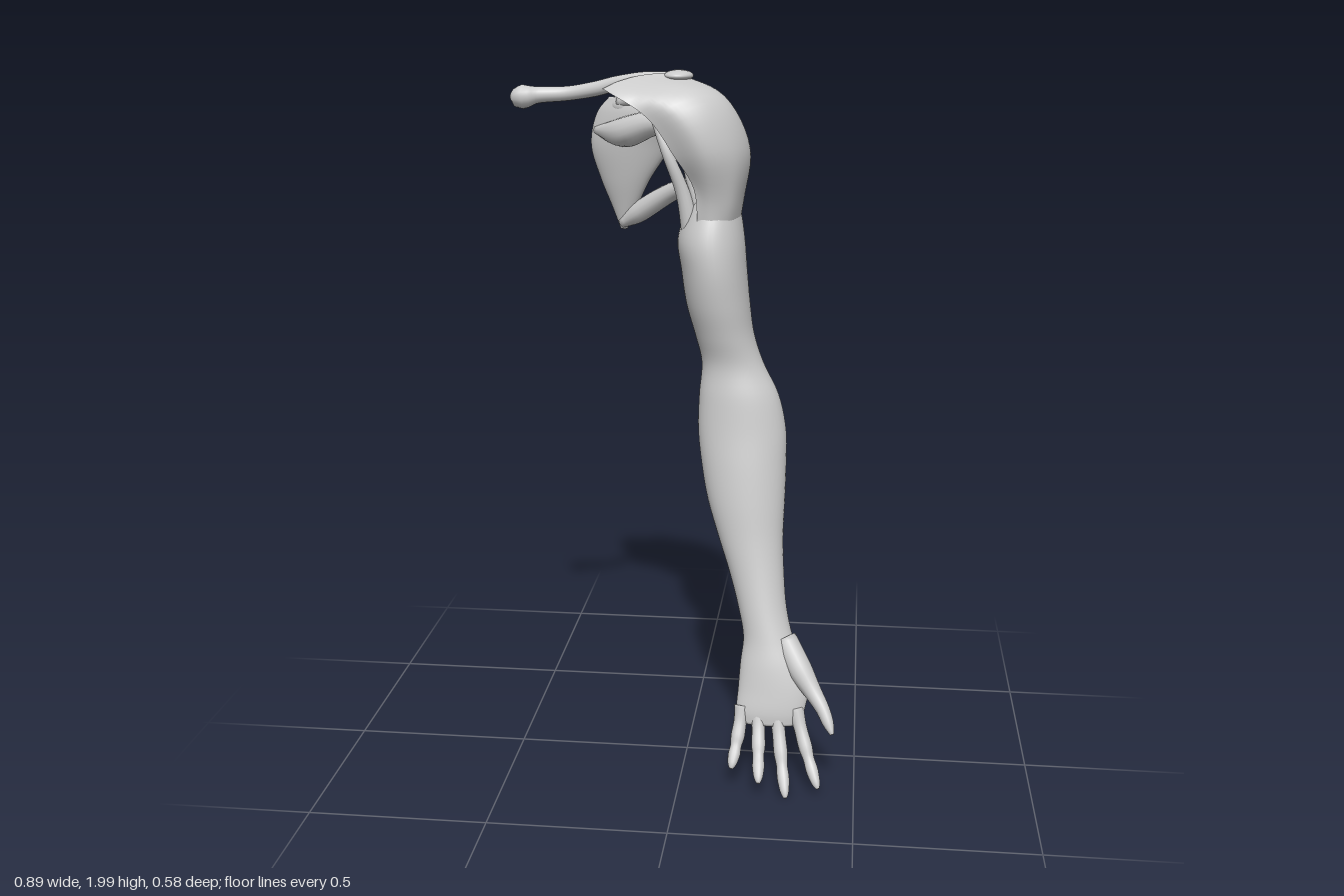
import * as THREE from 'three';

const V = (x, y, z) => new THREE.Vector3(x, y, z);

// Surface through rows of points; wrapped rows become a closed skin
function gridGeometry(rows, closed) {
  const n = rows[0].length, pos = [], idx = [];
  rows.forEach(r => r.forEach(p => pos.push(p.x, p.y, p.z)));
  for (let i = 0; i < rows.length - 1; i++) {
    for (let j = 0; j < (closed ? n : n - 1); j++) {
      const k = (j + 1) % n, a = i * n + j, b = i * n + k, c = a + n, d = b + n;
      idx.push(a, b, c, b, d, c);
    }
  }
  const g = new THREE.BufferGeometry();
  g.setAttribute('position', new THREE.Float32BufferAttribute(pos, 3));
  g.setIndex(idx);
  g.computeVertexNormals();
  return g;
}

// Smoothly resample a list of rows along its columns
function smoothRows(rows, steps) {
  const cols = rows[0].map((_, j) => new THREE.CatmullRomCurve3(rows.map(r => r[j])));
  return Array.from({ length: steps + 1 }, (_, i) => cols.map(c => c.getPoint(i / steps)));
}

// Close both ends of a skin with a collapsed row
function capped(rows) {
  const mid = r => {
    const c = r.reduce((s, p) => s.add(p), V(0, 0, 0)).divideScalar(r.length);
    return r.map(() => c.clone());
  };
  return [mid(rows[0]), ...rows, mid(rows[rows.length - 1])];
}

// Stacked oval sections: [y, xA, zA, xB, zB, half thickness]
function ovalLoft(sections, steps, sides = 32) {
  const rows = sections.map(([y, xa, za, xb, zb, t]) => {
    const ax = (xb - xa) / 2, az = (zb - za) / 2, len = Math.hypot(ax, az);
    return Array.from({ length: sides }, (_, j) => {
      const a = j / sides * Math.PI * 2, c = Math.cos(a), s = Math.sin(a) * t / len;
      return V((xa + xb) / 2 + ax * c + az * s, y, (za + zb) / 2 + az * c - ax * s);
    });
  });
  return gridGeometry(capped(smoothRows(rows, steps)), true);
}

// Round strand along points, each [x, y, z, radius]
function strand(points, steps = 24, sides = 14) {
  const curve = new THREE.CatmullRomCurve3(points.map(p => V(p[0], p[1], p[2])));
  const radius = new THREE.CatmullRomCurve3(points.map((p, i) => V(i, p[3], 0)), false, 'catmullrom');
  const { normals, binormals } = curve.computeFrenetFrames(steps, false);
  const rows = [];
  for (let i = 0; i <= steps; i++) {
    const u = curve.getUtoTmapping(i / steps), c = curve.getPoint(u), r = radius.getPoint(u).y;
    rows.push(Array.from({ length: sides }, (_, j) => {
      const a = j / sides * Math.PI * 2;
      return c.clone().addScaledVector(normals[i], r * Math.cos(a)).addScaledVector(binormals[i], r * Math.sin(a));
    }));
  }
  return gridGeometry(capped(rows), true);
}

export function createModel() {
  const group = new THREE.Group();
  const grey = new THREE.MeshStandardMaterial({ color: 0xcccccc, side: THREE.DoubleSide });
  grey.name = 'light grey';
  const add = (name, geometry) => {
    const m = new THREE.Mesh(geometry, grey);
    m.name = name;
    group.add(m);
    return m;
  };
  const ellipsoid = (name, p, r) => {
    const m = add(name, new THREE.SphereGeometry(1, 28, 18));
    m.position.set(...p);
    m.scale.set(...r);
    return m;
  };

  // Arm from shoulder to knuckles: [y, x min, x max, z back, z front]
  const arm = [
    [1.70, 0.03, 0.12, -0.15, -0.02],
    [1.62, -0.01, 0.14, -0.19, 0.02],
    [1.54, -0.035, 0.153, -0.20, 0.045],
    [1.46, -0.025, 0.16, -0.20, 0.05],
    [1.36, -0.01, 0.17, -0.18, 0.038],
    [1.27, 0.015, 0.183, -0.16, 0.018],
    [1.19, 0.034, 0.21, -0.142, 0.004],
    [1.10, 0.028, 0.255, -0.138, 0.018],
    [1.00, 0.026, 0.278, -0.134, 0.032],
    [0.90, 0.038, 0.281, -0.118, 0.05],
    [0.80, 0.058, 0.28, -0.092, 0.066],
    [0.70, 0.09, 0.278, -0.06, 0.08],
    [0.60, 0.125, 0.283, -0.03, 0.098],
    [0.50, 0.155, 0.294, 0.005, 0.12],
    [0.42, 0.172, 0.315, 0.035, 0.14],
    [0.35, 0.166, 0.345, 0.062, 0.16],
    [0.28, 0.162, 0.362, 0.09, 0.175],
    [0.22, 0.160, 0.352, 0.122, 0.185],
    [0.185, 0.175, 0.335, 0.142, 0.185],
  ];
  add('arm', ovalLoft(arm.map(([y, x0, x1, z0, z1]) =>
    [y, x0, (z0 + z1) / 2, x1, (z0 + z1) / 2, (z1 - z0) / 2]), 90, 40));

  // Four fingers: base and tip, with slight swelling at the joints
  const fingers = {
    littleFinger: [[0.177, 0.23, 0.15], [0.152, 0.078, 0.245]],
    ringFinger: [[0.222, 0.22, 0.155], [0.232, 0.055, 0.28]],
    middleFinger: [[0.275, 0.22, 0.155], [0.309, 0.013, 0.28]],
    indexFinger: [[0.328, 0.23, 0.152], [0.399, 0.035, 0.257]],
  };
  const knuckles = [[0, 0.024], [0.22, 0.019], [0.45, 0.02], [0.6, 0.016], [0.75, 0.0175], [0.93, 0.012], [1, 0.005]];
  for (const [name, [a, b]] of Object.entries(fingers)) {
    add(name, strand(knuckles.map(([t, r]) => [
      a[0] + (b[0] - a[0]) * t,
      a[1] + (b[1] - a[1]) * t - 0.012 * Math.sin(t * Math.PI),
      a[2] + (b[2] - a[2]) * t - 0.006 * Math.sin(t * Math.PI), r])));
  }
  add('thumb', strand([[0.29, 0.42, 0.095, 0.035], [0.335, 0.345, 0.13, 0.036], [0.375, 0.29, 0.16, 0.026],
    [0.405, 0.25, 0.187, 0.02], [0.423, 0.215, 0.208, 0.016], [0.435, 0.19, 0.226, 0.006]]));

  // Shoulder cap: open shell of fibres, from the front edge round to the back
  const fibres = [
    [[-0.22, 1.955, 0.06], [-0.10, 1.88, 0.07], [-0.03, 1.78, 0.06], [0.02, 1.69, 0.03], [0.03, 1.58, 0.015]],
    [[-0.19, 1.97, 0.00], [-0.04, 1.91, 0.08], [0.05, 1.79, 0.078], [0.07, 1.66, 0.035], [0.07, 1.56, 0.02]],
    [[-0.13, 1.985, -0.06], [0.04, 1.935, 0.04], [0.125, 1.80, 0.03], [0.125, 1.66, 0.01], [0.11, 1.56, -0.01]],
    [[-0.05, 1.99, -0.09], [0.095, 1.93, -0.04], [0.165, 1.79, -0.06], [0.148, 1.65, -0.07], [0.135, 1.56, -0.07]],
    [[-0.04, 1.985, -0.13], [0.07, 1.93, -0.14], [0.145, 1.79, -0.15], [0.14, 1.65, -0.13], [0.12, 1.56, -0.12]],
    [[-0.07, 1.97, -0.18], [0.02, 1.90, -0.225], [0.08, 1.77, -0.225], [0.09, 1.65, -0.18], [0.08, 1.56, -0.165]],
    [[-0.12, 1.93, -0.23], [-0.06, 1.86, -0.26], [0.00, 1.76, -0.24], [0.04, 1.66, -0.19], [0.045, 1.56, -0.165]],
  ].map(f => new THREE.CatmullRomCurve3(f.map(p => V(...p))).getPoints(24));
  add('shoulderMuscle', gridGeometry(smoothRows(fibres, 40), false));
  ellipsoid('upperArmBoneHead', [0.035, 1.86, -0.08], [0.07, 0.075, 0.075]);

  // Collarbone with a flared inner end
  add('collarbone', strand([[-0.445, 1.945, 0.115, 0.014], [-0.425, 1.938, 0.13, 0.032], [-0.385, 1.942, 0.123, 0.022],
    [-0.31, 1.945, 0.105, 0.019], [-0.245, 1.953, 0.045, 0.02], [-0.19, 1.965, -0.035, 0.02],
    [-0.12, 1.973, -0.09, 0.02], [-0.04, 1.977, -0.1, 0.014]], 48, 18));

  // Shoulder blade: oblique plate tapering to its lower tip
  add('shoulderBlade', ovalLoft([
    [1.915, -0.25, -0.24, -0.15, -0.20, 0.012],
    [1.87, -0.288, -0.255, -0.04, -0.15, 0.024],
    [1.78, -0.308, -0.265, -0.07, -0.19, 0.032],
    [1.68, -0.282, -0.275, -0.135, -0.225, 0.03],
    [1.60, -0.25, -0.277, -0.175, -0.25, 0.022],
    [1.535, -0.225, -0.27, -0.205, -0.265, 0.008],
  ], 36));
  add('bladeRidge', strand([[-0.25, 1.86, -0.265, 0.01], [-0.17, 1.9, -0.245, 0.02], [-0.1, 1.945, -0.205, 0.02],
    [-0.03, 1.975, -0.11, 0.02]]));
  ellipsoid('ridgeEnd', [-0.195, 1.89, -0.225], [0.05, 0.03, 0.028]).rotation.y = -0.2;
  ellipsoid('shoulderTip', [-0.035, 1.982, -0.097], [0.041, 0.016, 0.062]);

  // Muscles running from the blade to the arm
  const muscles = {
    upperBladeMuscle: [[-0.22, 1.9, -0.22, 0.015], [-0.12, 1.925, -0.175, 0.028], [0.02, 1.92, -0.1, 0.015]],
    frontBladeMuscle: [[-0.29, 1.82, -0.25, 0.012], [-0.2, 1.82, -0.185, 0.042], [-0.11, 1.85, -0.13, 0.035], [0.02, 1.86, -0.08, 0.02]],
    rearBladeMuscle: [[-0.27, 1.72, -0.27, 0.012], [-0.17, 1.78, -0.25, 0.042], [-0.06, 1.84, -0.2, 0.035], [0.06, 1.87, -0.14, 0.02]],
    lowerBladeMuscle: [[-0.222, 1.55, -0.265, 0.014], [-0.17, 1.585, -0.25, 0.03], [-0.07, 1.65, -0.2, 0.027], [0.04, 1.7, -0.11, 0.016]],
    innerTendon: [[-0.11, 1.92, -0.05, 0.012], [-0.06, 1.79, -0.01, 0.015], [-0.015, 1.67, -0.025, 0.02], [0.01, 1.55, -0.04, 0.03]],
    outerTendon: [[-0.04, 1.89, -0.09, 0.012], [-0.01, 1.77, -0.05, 0.014], [0.02, 1.66, -0.04, 0.02], [0.04, 1.57, -0.05, 0.03]],
  };
  for (const [name, points] of Object.entries(muscles)) add(name, strand(points));
  return group;
}
